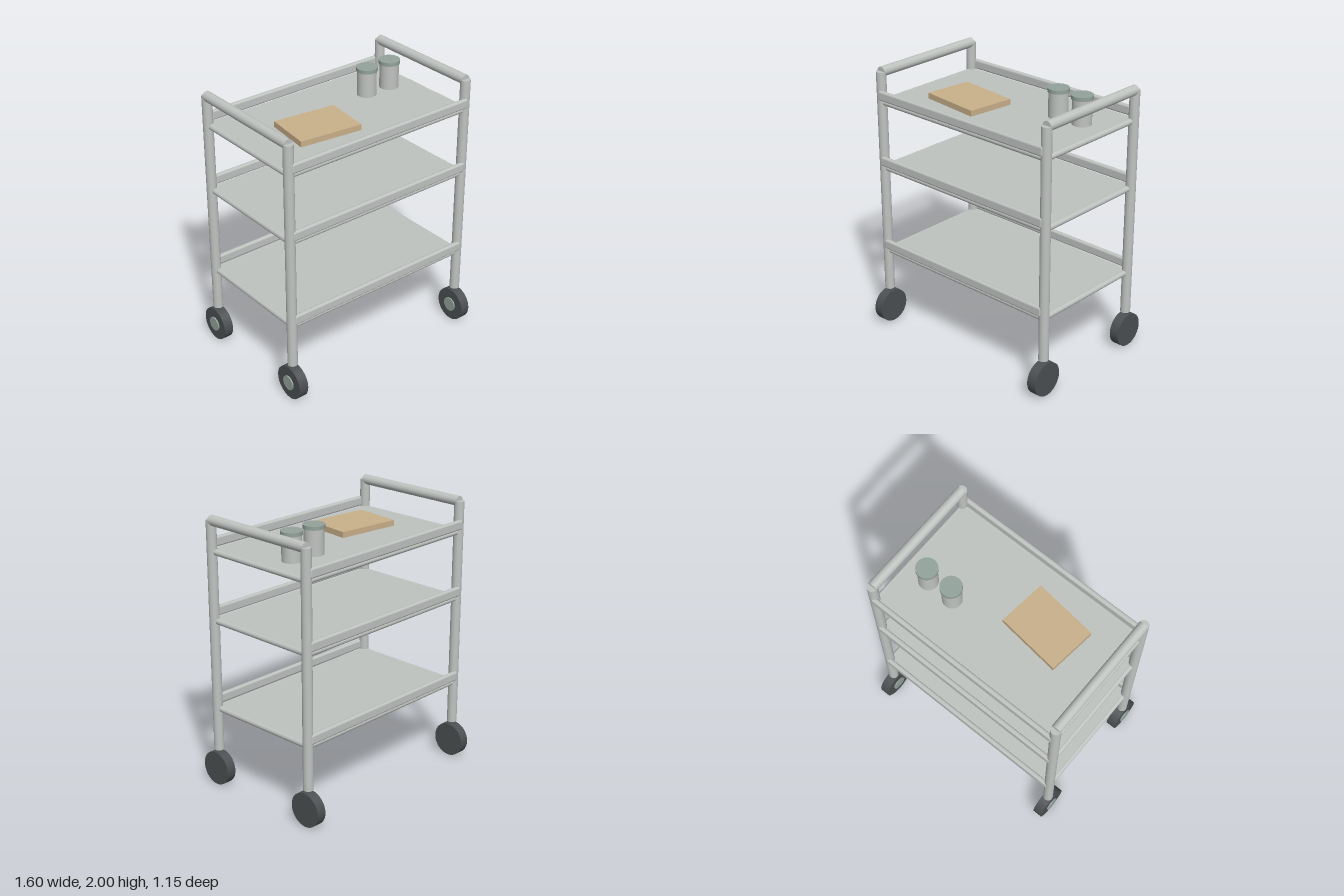
import * as THREE from 'three';
import { RoundedBoxGeometry } from 'three/addons/geometries/RoundedBoxGeometry.js';

const POST_X = 0.76, POST_Z = 0.45, TUBE_R = 0.036, BAR_R = 0.021;

function material(name, color) {
  const m = new THREE.MeshStandardMaterial({ color });
  m.name = name;
  return m;
}

export function createModel() {
  const steel = material('steel', 0xbfc3c0);
  const rubber = material('dark rubber', 0x4c5052);
  const sage = material('sage', 0x93a39b);
  const wood = material('wood', 0xc9b08a);

  const model = new THREE.Group();
  model.name = 'trolley';

  function add(parent, name, geometry, mat, x, y, z) {
    const mesh = new THREE.Mesh(geometry, mat);
    mesh.name = name;
    mesh.position.set(x, y, z);
    parent.add(mesh);
    return mesh;
  }

  // Cylinder lying along x, y or z
  function rod(radius, length, axis = 'y') {
    const g = new THREE.CylinderGeometry(radius, radius, length, 32);
    if (axis === 'x') g.rotateZ(Math.PI / 2);
    if (axis === 'z') g.rotateX(Math.PI / 2);
    return g;
  }

  for (const sx of [-1, 1]) {
    const x = sx * POST_X;
    // Push handle across the post tops
    add(model, 'handle', rod(TUBE_R, POST_Z * 2, 'z'), steel, x, 1.964, 0);
    for (const sz of [-1, 1]) {
      const z = sz * POST_Z;
      add(model, 'post', rod(TUBE_R, 1.697), steel, x, 1.1185, z);
      // Caster, with its hub cap on one face
      const caster = new THREE.Group();
      caster.name = 'caster';
      caster.position.set(x, 0.125, z);
      add(caster, 'wheel', rod(0.125, 0.072, 'x'), rubber, 0, 0, 0);
      add(caster, 'hubCap', rod(0.054, 0.02, 'x'), sage, -0.036, 0, 0);
      model.add(caster);
    }
  }

  // Three shelves with round edge bars and raised guard rails
  for (const y of [0.589, 1.247, 1.744]) {
    const shelf = new THREE.Group();
    shelf.name = 'shelf';
    shelf.position.y = y;
    add(shelf, 'plate', new THREE.BoxGeometry(POST_X * 2 - 0.02, 0.018, POST_Z * 2), steel, 0, 0.011, 0);
    for (const s of [-1, 1]) {
      add(shelf, 'sideBar', rod(BAR_R, POST_Z * 2, 'z'), steel, s * (POST_X - 0.005), 0, 0);
      add(shelf, 'longBar', rod(BAR_R, POST_X * 2, 'x'), steel, 0, 0, s * POST_Z);
      add(shelf, 'guardRail', new RoundedBoxGeometry(POST_X * 2, 0.072, 0.036, 4, 0.015),
        steel, 0, 0.055, s * 0.473);
    }
    model.add(shelf);
  }

  // Lidded tins on the top shelf
  for (const x of [0.365, 0.571]) {
    const tin = new THREE.Group();
    tin.name = 'tin';
    tin.position.set(x, 1.764, -0.127);
    add(tin, 'tinBody', rod(0.069, 0.185), steel, 0, 0.0925, 0);
    add(tin, 'tinLid', rod(0.076, 0.027), sage, 0, 0.195, 0);
    model.add(tin);
  }

  // Wooden board lying at a slight angle
  const board = add(model, 'board', new THREE.BoxGeometry(0.468, 0.042, 0.35), wood, -0.252, 1.797, 0.1);
  board.rotation.y = -0.115;

  return model;
}
